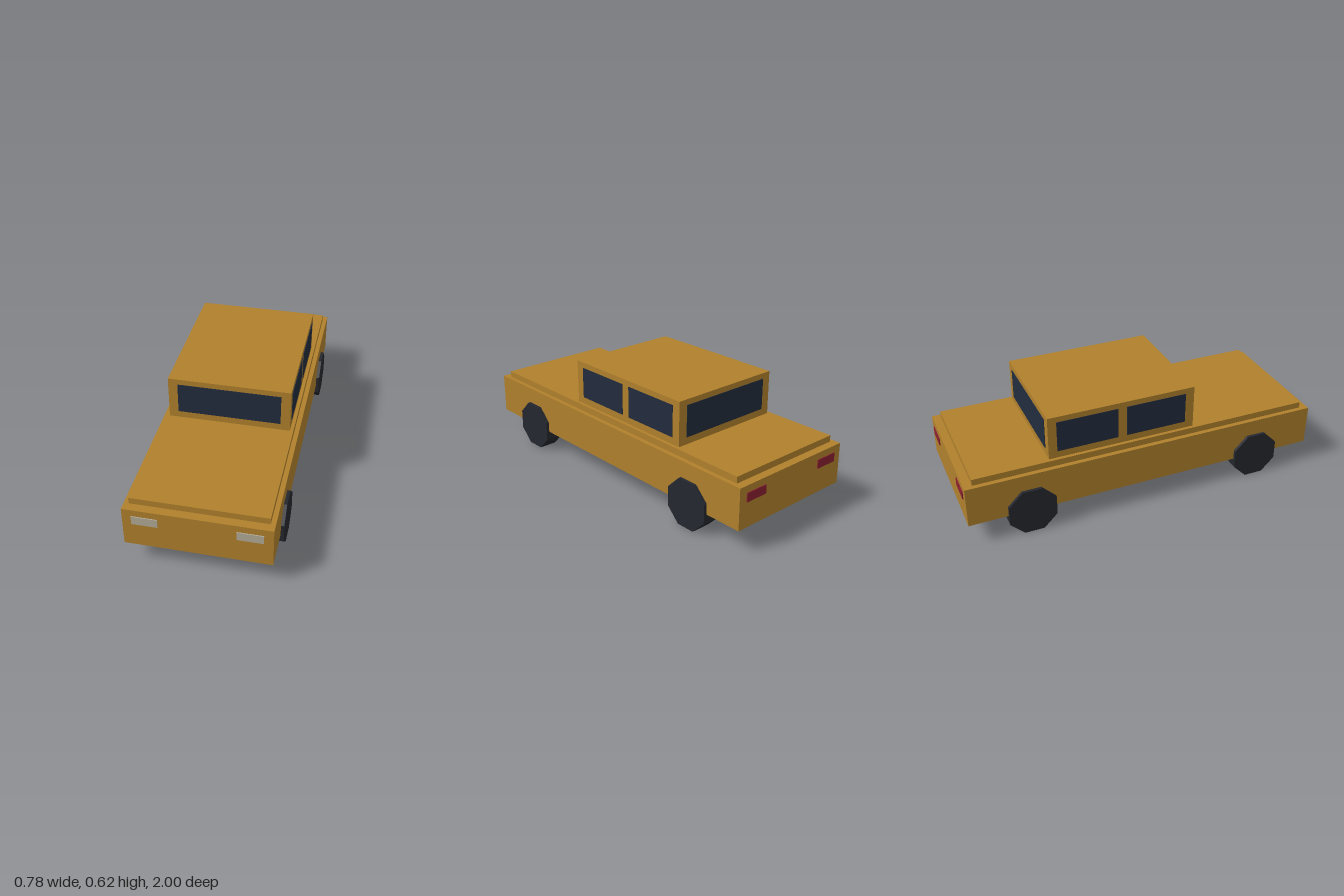
import * as THREE from 'three';

const material = (color) => new THREE.MeshStandardMaterial({ color, flatShading: true });

export function createModel() {
  const car = new THREE.Group();
  car.name = 'car';
  const paint = material(0xb0802c);
  const glass = material(0x222c3d);
  const rubber = material(0x24272e);
  const headlightLens = material(0xb2aa96);
  const taillightLens = material(0x8a2030);

  const add = (name, geometry, mat, x, y, z) => {
    const mesh = new THREE.Mesh(geometry, mat);
    mesh.name = name;
    mesh.position.set(x, y, z);
    car.add(mesh);
  };
  // Box given by its lower and upper limits on each axis
  const addBox = (name, mat, [x0, x1], [y0, y1], [z0, z1]) =>
    add(name, new THREE.BoxGeometry(x1 - x0, y1 - y0, z1 - z0), mat,
      (x0 + x1) / 2, (y0 + y1) / 2, (z0 + z1) / 2);
  const span = (a, b) => [Math.min(a, b), Math.max(a, b)];

  // Bodywork: lower hull, raised deck and cabin
  const cabinX = 0.328, cabinFront = 0.279, cabinBack = -0.54;
  addBox('body', paint, [-0.372, 0.372], [0.123, 0.347], [-0.995, 0.995]);
  addBox('deck', paint, [-0.347, 0.347], [0.347, 0.382], [-0.95, 0.95]);
  addBox('cabin', paint, [-cabinX, cabinX], [0.382, 0.624], [cabinBack, cabinFront]);

  // Thin window panes set just proud of the cabin
  const proud = 0.003;
  const paneY = [0.421, 0.593];
  addBox('windshield', glass, [-0.277, 0.277], paneY, [cabinFront - 0.005, cabinFront + proud]);
  addBox('rearWindow', glass, [-0.277, 0.277], paneY, [cabinBack - proud, cabinBack + 0.005]);

  for (const [side, s] of [['left', 1], ['right', -1]]) {
    const paneX = span(s * (cabinX - 0.005), s * (cabinX + proud));
    addBox(side + 'FrontWindow', glass, paneX, paneY, [-0.107, 0.229]);
    addBox(side + 'BackWindow', glass, paneX, paneY, [-0.493, -0.158]);

    // Lamps at both ends
    const lampX = span(s * 0.194, s * 0.325);
    addBox(side + 'Headlight', headlightLens, lampX, [0.261, 0.309], [0.985, 1]);
    addBox(side + 'Taillight', taillightLens, lampX, [0.261, 0.309], [-1, -0.985]);

    // Octagonal wheels standing on a flat
    for (const [end, z] of [['Front', 0.656], ['Back', -0.656]]) {
      const wheel = new THREE.CylinderGeometry(0.139, 0.139, 0.103, 8);
      wheel.rotateY(Math.PI / 8).rotateZ(Math.PI / 2);
      add(side + end + 'Wheel', wheel, rubber, s * 0.3375, 0.1285, z);
    }
  }
  return car;
}
